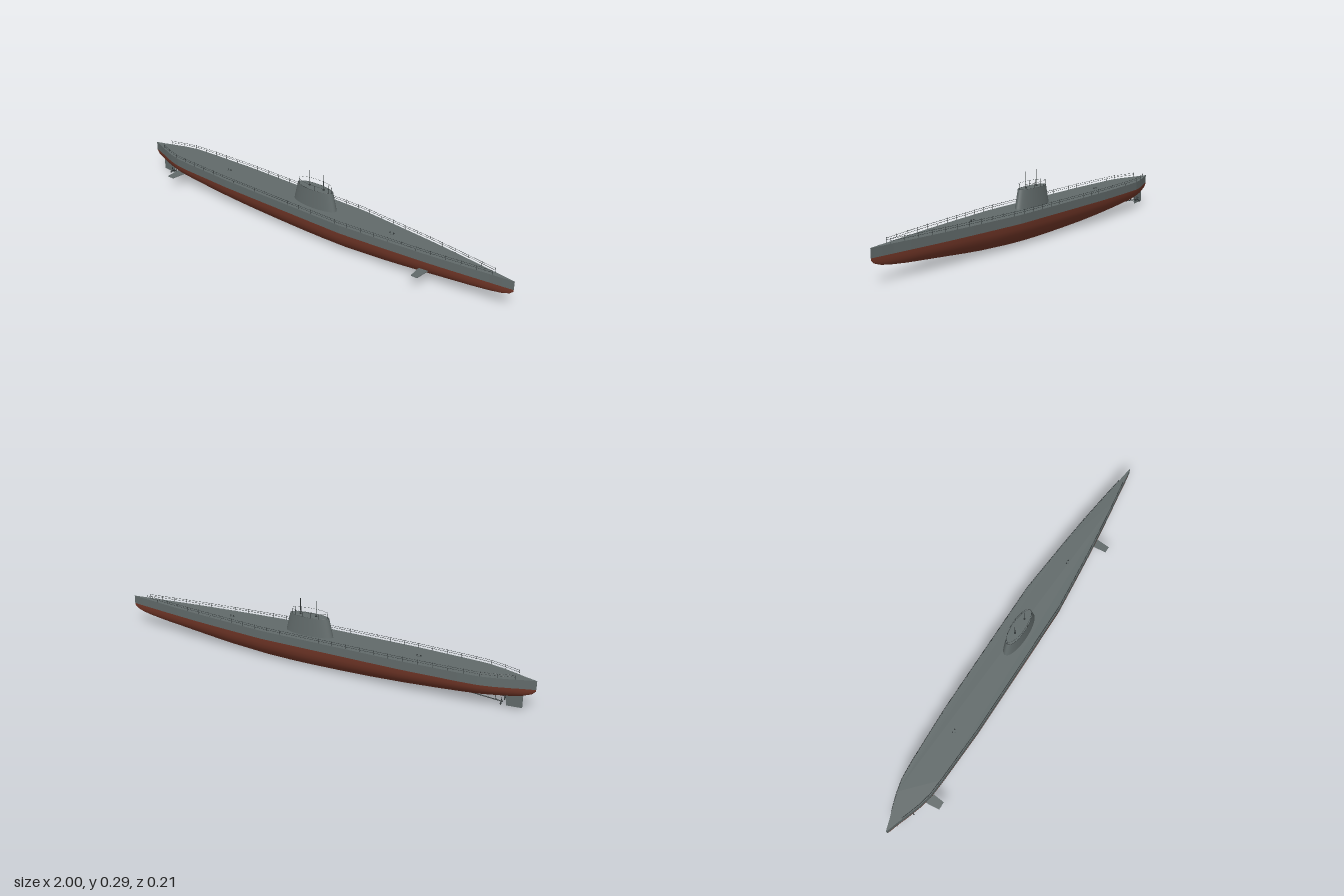
import * as THREE from 'three';

const CZ = -0.018, DECK = 0.14, WATER = 0.102;

// [x, half width, depth below the waterline]
const STATIONS = [
  [-1, 0.001, 0.006], [-0.985, 0.006, 0.022], [-0.95, 0.017, 0.036], [-0.9, 0.036, 0.047],
  [-0.84, 0.056, 0.054], [-0.78, 0.07, 0.061], [-0.7, 0.076, 0.068], [-0.6, 0.08, 0.076],
  [-0.45, 0.086, 0.086], [-0.3, 0.0865, 0.094], [-0.15, 0.0865, 0.099], [0, 0.0865, 0.102],
  [0.1, 0.0865, 0.102], [0.22, 0.0865, 0.099], [0.4, 0.071, 0.09], [0.5, 0.062, 0.082],
  [0.62, 0.05, 0.071], [0.72, 0.038, 0.062], [0.82, 0.025, 0.053], [0.9, 0.014, 0.043],
  [0.95, 0.008, 0.034], [0.985, 0.003, 0.022], [1, 0.001, 0.008],
];

function halfWidth(x) {
  for (let i = 1; i < STATIONS.length; i++) {
    const [x0, w0] = STATIONS[i - 1], [x1, w1] = STATIONS[i];
    if (x <= x1) return w0 + ((w1 - w0) * (x - x0)) / (x1 - x0);
  }
  return 0;
}

// Half-elliptical sections lofted along the length
function lowerHullGeometry(seg = 14) {
  const pos = [], idx = [], n = seg + 1;
  STATIONS.forEach(([x, w, d], i) => {
    for (let j = 0; j <= seg; j++) {
      const a = (Math.PI * j) / seg;
      pos.push(x, WATER - d * Math.sin(a), w * Math.cos(a));
      if (i < STATIONS.length - 1 && j < seg) {
        const p = i * n + j;
        idx.push(p, p + 1, p + n, p + 1, p + n + 1, p + n);
      }
    }
  });
  const g = new THREE.BufferGeometry();
  g.setAttribute('position', new THREE.Float32BufferAttribute(pos, 3));
  g.setIndex(idx);
  g.computeVertexNormals();
  return g;
}

// Closed outline in (x, z), extruded upwards
function slab(points, y, height) {
  const shape = new THREE.Shape(points.map(([x, z]) => new THREE.Vector2(x, -z)));
  const g = new THREE.ExtrudeGeometry(shape, { depth: height, bevelEnabled: false });
  return g.rotateX(-Math.PI / 2).translate(0, y, 0);
}

export function createModel() {
  const mat = (name, color) => {
    const m = new THREE.MeshStandardMaterial({ color });
    m.name = name;
    return m;
  };
  const grey = mat('hull grey', 0x616a6a);
  const red = mat('antifouling red', 0x733728);
  const dark = mat('dark metal', 0x33393a);

  const model = new THREE.Group();
  model.name = 'submarine';
  const boat = new THREE.Group();
  boat.name = 'boat';
  boat.position.z = CZ;
  model.add(boat);

  const add = (name, geo, material, parent = boat) => {
    const m = new THREE.Mesh(geo, material);
    m.name = name;
    parent.add(m);
    return m;
  };
  const group = (name) => {
    const g = new THREE.Group();
    g.name = name;
    boat.add(g);
    return g;
  };
  // Thin round bar between two points
  const bar = (name, a, b, r, material, parent) => {
    const p = new THREE.Vector3(...a), q = new THREE.Vector3(...b), d = q.clone().sub(p);
    const m = add(name, new THREE.CylinderGeometry(r, r, d.length(), 6), material, parent);
    m.position.copy(p).add(q).multiplyScalar(0.5);
    m.quaternion.setFromUnitVectors(new THREE.Vector3(0, 1, 0), d.normalize());
    return m;
  };

  // Hull
  add('lowerHull', lowerHullGeometry(), red);
  const outline = [
    ...STATIONS.map(([x, w]) => [x, w]),
    ...STATIONS.slice().reverse().map(([x, w]) => [x, -w]),
  ];
  add('upperHull', slab(outline, WATER, DECK - WATER), grey);

  // Conning tower: tapered ellipse with a bridge rim
  const tower = add('conningTower', new THREE.CylinderGeometry(0.096, 0.116, 0.083, 40), grey);
  tower.scale.z = 0.325;
  tower.position.set(0.02, DECK + 0.0405, 0);
  const rim = add('bridgeRim', new THREE.TorusGeometry(0.094, 0.002, 6, 40).rotateX(Math.PI / 2), dark);
  rim.scale.z = 0.325;
  rim.position.set(0.02, 0.221, 0);

  // Bridge railing
  const bridge = group('bridgeRailing');
  const ringPoint = (a, y) => [0.02 + 0.09 * Math.cos(a), y, 0.03 * Math.sin(a)];
  const N = 14;
  for (let i = 0; i < N; i++) {
    const a = (i * 2 * Math.PI) / N, b = ((i + 1) * 2 * Math.PI) / N;
    bar('bridgePost', ringPoint(a, 0.22), ringPoint(a, 0.246), 0.0006, dark, bridge);
    bar('bridgeRail', ringPoint(a, 0.244), ringPoint(b, 0.244), 0.0005, dark, bridge);
  }
  // Periscopes
  for (const x of [-0.012, 0.066]) {
    bar('periscope', [x, 0.2, 0], [x, 0.295, 0], 0.0014, dark);
    bar('periscopeCollar', [x, 0.22, 0], [x, 0.226, 0], 0.005, dark);
  }

  // Deck railings along both edges
  const railing = group('deckRailing');
  const edge = (x, y, s) => [x, y, s * Math.max(halfWidth(x) - 0.002, 0.004)];
  const railXs = [-0.92, ...STATIONS.map((s) => s[0]).filter((x) => x > -0.92 && x < 0.91), 0.91];
  for (const s of [-1, 1]) {
    for (let i = 1; i < railXs.length; i++) {
      for (const y of [0.15, 0.158]) {
        bar('deckRail', edge(railXs[i - 1], y, s), edge(railXs[i], y, s), 0.0007, dark, railing);
      }
    }
    for (let i = 0; i <= 28; i++) {
      const x = -0.92 + (1.83 * i) / 28;
      bar('deckPost', edge(x, DECK, s), edge(x, 0.161, s), 0.0008, dark, railing);
    }
  }

  // Deck hatches with small bollards
  for (const x of [-0.5, 0.43]) {
    add('hatch', new THREE.CylinderGeometry(0.009, 0.009, 0.003, 16), grey).position.set(x, DECK + 0.0015, 0);
    for (const dx of [-0.008, 0.008]) bar('bollard', [x + dx, DECK, 0], [x + dx, 0.146, 0], 0.003, dark);
  }

  // Diving planes
  const plane = (name, x, root, tip, z0, z1, y) =>
    add(name, slab([[x - root, z0], [x + root, z0], [x + tip, z1], [x - tip, z1]], y - 0.0015, 0.003), grey);
  plane('sternPlane', -0.783, 0.026, 0.018, 0.035, 0.12, 0.059);
  plane('bowPlane', 0.617, 0.022, 0.015, 0.025, 0.108, 0.059);

  // Rudder
  const rudder = new THREE.Shape();
  [[-0.95, 0.07], [-0.95, 0.012], [-0.885, 0.008], [-0.88, 0.065]]
    .forEach(([x, y], i) => (i ? rudder.lineTo(x, y) : rudder.moveTo(x, y)));
  add('rudder', new THREE.ExtrudeGeometry(rudder, { depth: 0.005, bevelEnabled: false }).translate(0, 0, -0.0025), grey);

  // Twin shafts, struts and three-bladed propellers
  for (const s of [-1, 1]) {
    const z = s * 0.025;
    bar('propellerShaft', [-0.875, 0.034, z], [-0.72, 0.045, z], 0.002, dark);
    bar('shaftStrut', [-0.85, 0.036, z], [-0.84, 0.06, z * 0.7], 0.0015, dark);
    const prop = group('propeller');
    prop.position.set(-0.872, 0.034, z);
    add('propellerHub', new THREE.SphereGeometry(0.004, 10, 8), dark, prop);
    for (let k = 0; k < 3; k++) {
      const arm = new THREE.Group();
      arm.name = 'propellerBlade';
      arm.rotation.x = (k * 2 * Math.PI) / 3;
      prop.add(arm);
      const blade = add('blade', new THREE.SphereGeometry(1, 10, 8), dark, arm);
      blade.scale.set(0.001, 0.009, 0.005);
      blade.position.y = 0.009;
      blade.rotation.y = 0.5;
    }
  }
  return model;
}
